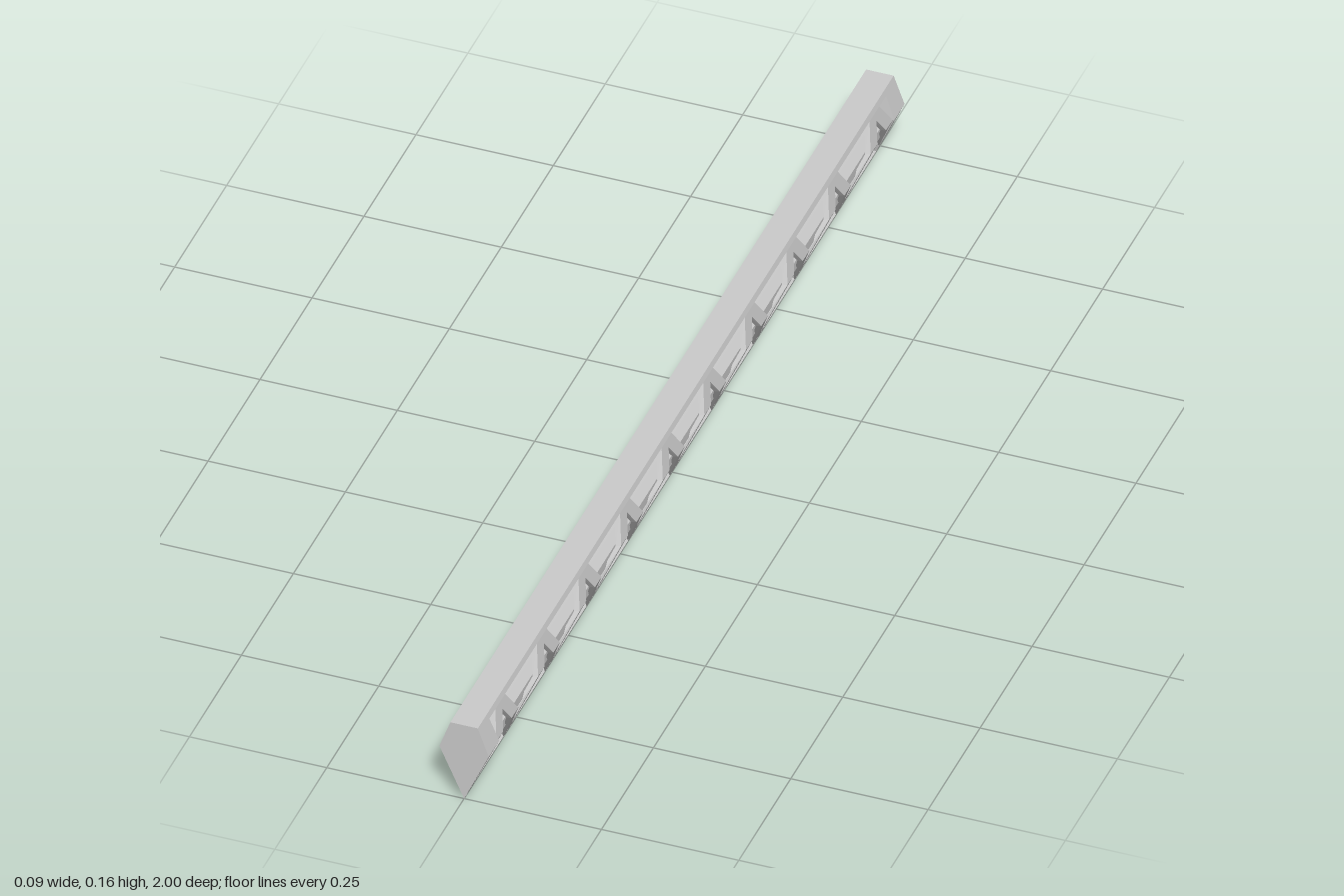
import * as THREE from 'three';
import { ConvexGeometry } from 'three/addons/geometries/ConvexGeometry.js';

const material = new THREE.MeshStandardMaterial({ color: 0xcccccc, flatShading: true });
const TOP = 0.155;
const BAY = 0.1;       // z distance covered by one diagonal
const HALF_WIDTH = 0.016; // half of a diagonal's width along z

function add(parent, name, geometry) {
  const mesh = new THREE.Mesh(geometry, material);
  mesh.name = name;
  parent.add(mesh);
  return mesh;
}

// Constant cross-section running along z, centred on z = 0
function rail(parent, name, section, length) {
  const shape = new THREE.Shape(section.map(([x, y]) => new THREE.Vector2(x, y)));
  const geometry = new THREE.ExtrudeGeometry(shape, { depth: length, bevelEnabled: false });
  geometry.translate(0, 0, -length / 2);
  return add(parent, name, geometry);
}

// One diagonal, folded outward at the widest line of the beam
function brace(parent, side, apexZ, direction) {
  const sections = [ // outer point, inner point
    [[0.026, 0.15], [0.015, 0.147]],
    [[0.041, 0.098], [0.031, 0.096]],
    [[0.002, 0.004], [0, 0.018]],
  ];
  const group = new THREE.Group();
  group.name = side > 0 ? 'leftBrace' : 'rightBrace';
  const corners = (section) => section.flatMap(([x, y]) => {
    const z = apexZ + direction * BAY * (TOP - section[0][1]) / TOP;
    return [-1, 1].map((e) => new THREE.Vector3(
      side * x, y, THREE.MathUtils.clamp(z + e * HALF_WIDTH, -0.995, 0.995)));
  });
  for (let i = 0; i < 2; i++) {
    add(group, i ? 'lowerBraceHalf' : 'upperBraceHalf',
      new ConvexGeometry([...corners(sections[i]), ...corners(sections[i + 1])]));
  }
  parent.add(group);
}

// Solid end block, its inner face leaning outward towards the bottom edge
function endCap(parent, end) {
  const outline = [ // x, y, inner z
    [0.025, TOP, 0.955], [0.045, 0.1, 0.95], [0, 0, 0.972],
    [-0.045, 0.1, 0.95], [-0.025, TOP, 0.955],
  ];
  const points = outline.flatMap(([x, y, z]) => [
    new THREE.Vector3(x, y, end), new THREE.Vector3(x, y, end * z)]);
  add(parent, end > 0 ? 'frontCap' : 'backCap', new ConvexGeometry(points));
}

export function createModel() {
  const model = new THREE.Group();
  model.name = 'trussBeam';

  // Long rails along the top and bottom edges
  rail(model, 'topRail',
    [[-0.0286, 0.145], [0.0286, 0.145], [0.025, TOP], [-0.025, TOP]], 1.96);
  rail(model, 'bottomRail', [[0, 0], [0.005, 0.011], [-0.005, 0.011]], 1.96);

  // Eight-sided core rod
  const rod = new THREE.CylinderGeometry(0.024, 0.024, 1.94, 8);
  rod.rotateX(Math.PI / 2).rotateZ(Math.PI / 8).translate(0, 0.073, 0);
  add(model, 'coreRod', rod);

  // Zigzag of diagonals on both flanks
  for (let i = 0; i < 10; i++) {
    const apexZ = 0.9 - i * 2 * BAY;
    for (const side of [-1, 1]) {
      for (const direction of [-1, 1]) brace(model, side, apexZ, direction);
    }
  }

  endCap(model, 1);
  endCap(model, -1);
  return model;
}
